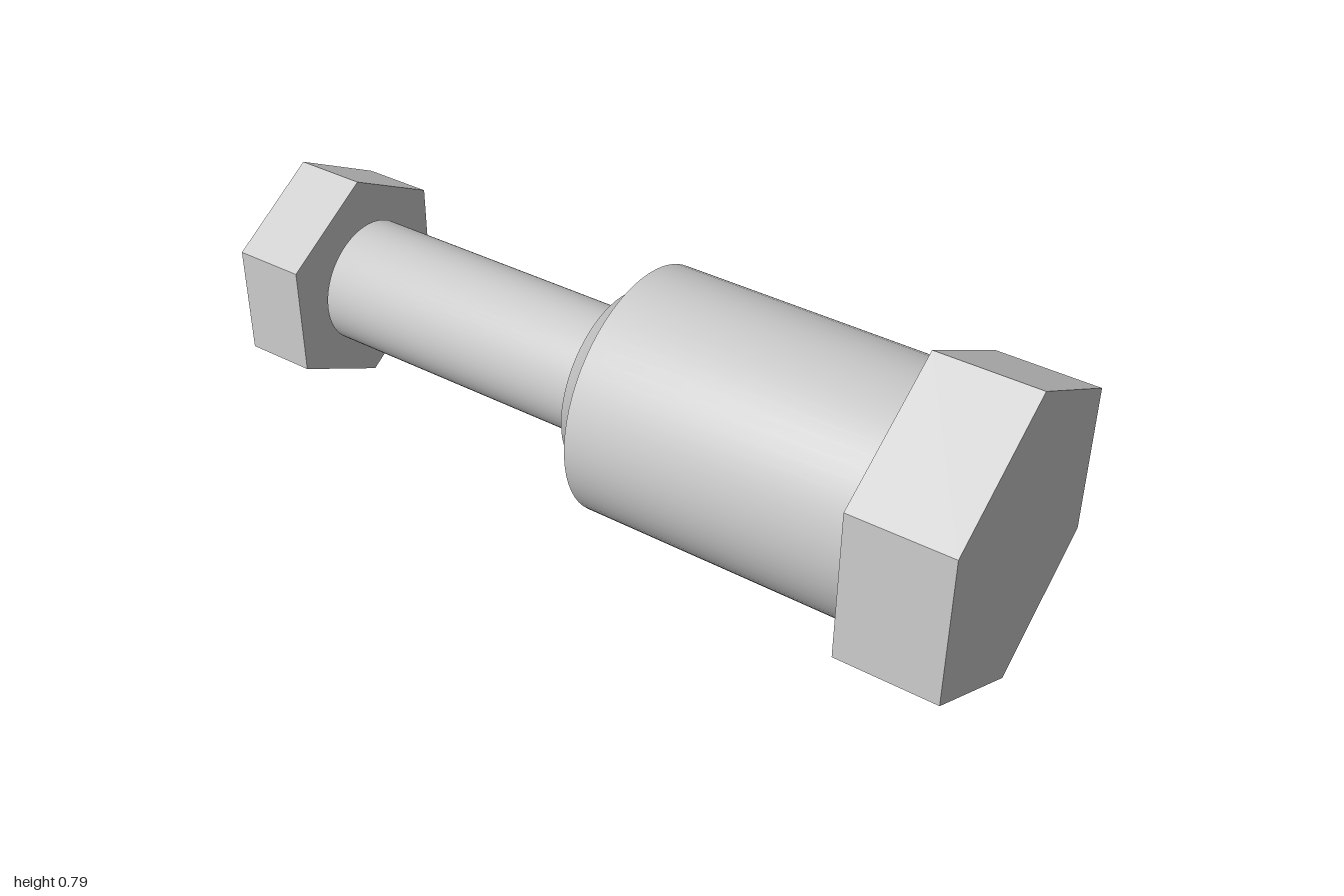
import * as THREE from 'three';

const AXIS_Y = 0.397; // height of the shared axis

export function createModel() {
  const group = new THREE.Group();
  const smooth = new THREE.MeshStandardMaterial({ color: 0xcccccc });
  const flat = new THREE.MeshStandardMaterial({ color: 0xcccccc, flatShading: true });

  // Lay a y-axis geometry along +x and place it on the shared axis
  function add(name, geometry, material, x = 0) {
    geometry.rotateZ(-Math.PI / 2);
    const mesh = new THREE.Mesh(geometry, material);
    mesh.name = name;
    mesh.position.set(x, AXIS_Y, 0);
    group.add(mesh);
  }

  // Hexagonal prism spanning x0..x1, with corners up and down
  function addHex(name, radius, x0, x1) {
    const hex = new THREE.CylinderGeometry(radius, radius, x1 - x0, 6, 1, false, Math.PI / 2);
    add(name, hex, flat, (x0 + x1) / 2);
  }

  addHex('boltHead', AXIS_Y, 0.745, 1);
  addHex('endNut', 0.281, -1, -0.822);

  // Stepped shank: thin shaft, collar, thick body; each entry is [radius, x]
  const profile = [
    [0, -0.812], [0.158, -0.812],
    [0.158, -0.048], [0.222, -0.048],
    [0.222, 0.022], [0.307, 0.022],
    [0.307, 0.745], [0, 0.745],
  ].map(([r, x]) => new THREE.Vector2(r, x));
  add('steppedShank', new THREE.LatheGeometry(profile, 64), smooth);

  return group;
}
